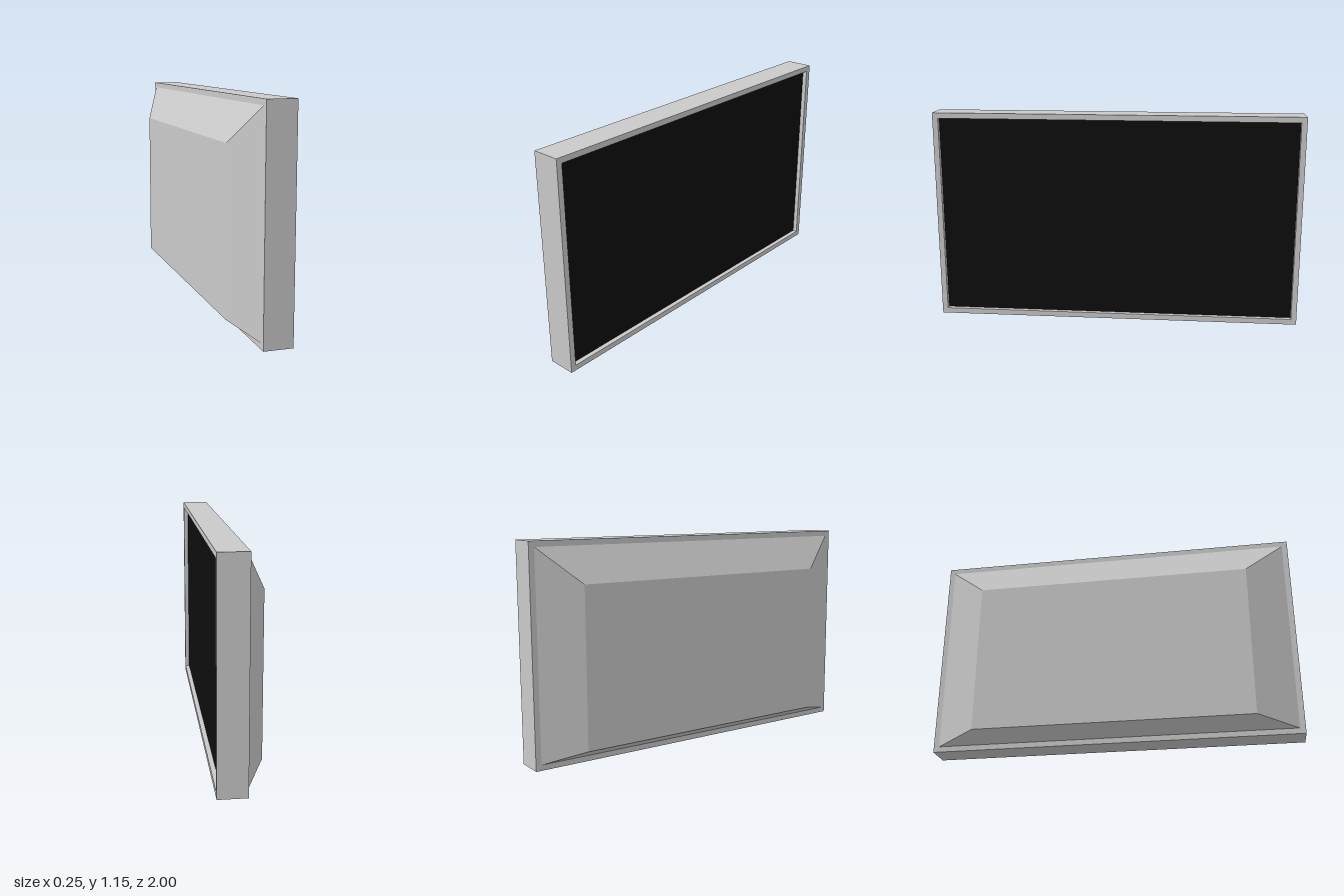
import * as THREE from 'three';

const HEIGHT = 1.15, WIDTH = 2, RIM = 0.03;
const FRONT = 0.125, BACK = -0.025;

export function createModel() {
  const casing = new THREE.MeshStandardMaterial({ color: 0xcacaca });
  casing.name = 'light grey casing';
  const glass = new THREE.MeshStandardMaterial({ color: 0x0d0d0d });
  glass.name = 'black screen';

  const group = new THREE.Group();
  const add = (name, geometry, material, x, y) => {
    const mesh = new THREE.Mesh(geometry, material);
    mesh.name = name;
    mesh.position.set(x, y, 0);
    group.add(mesh);
  };

  // Deep rectangular frame, open through the middle, facing +x
  const rectangle = (Type, inset) => {
    const w = WIDTH / 2 - inset, top = HEIGHT - inset;
    return new Type([[-w, inset], [w, inset], [w, top], [-w, top]].map(p => new THREE.Vector2(...p)));
  };
  const outline = rectangle(THREE.Shape, 0);
  outline.holes.push(rectangle(THREE.Path, RIM));
  const frame = new THREE.ExtrudeGeometry(outline, { depth: FRONT - BACK, bevelEnabled: false });
  frame.rotateY(Math.PI / 2);
  add('frame', frame, casing, BACK, 0);

  // Screen plate recessed behind the rim
  const innerH = HEIGHT - 2 * RIM, innerW = WIDTH - 2 * RIM;
  add('screen', new THREE.BoxGeometry(0.008, innerH, innerW), glass, FRONT - 0.029, HEIGHT / 2);

  // Back housing: a box tapered to a smaller, lower-set rear face
  const housing = new THREE.BoxGeometry(0.1, innerH, innerW).toNonIndexed();
  const pos = housing.attributes.position;
  for (let i = 0; i < pos.count; i++) {
    if (pos.getX(i) > 0) continue;
    pos.setY(i, (pos.getY(i) > 0 ? 0.935 : 0.085) - HEIGHT / 2);
    pos.setZ(i, Math.sign(pos.getZ(i)) * 0.757);
  }
  housing.computeVertexNormals();
  add('backHousing', housing, casing, BACK - 0.05, HEIGHT / 2);

  return group;
}
